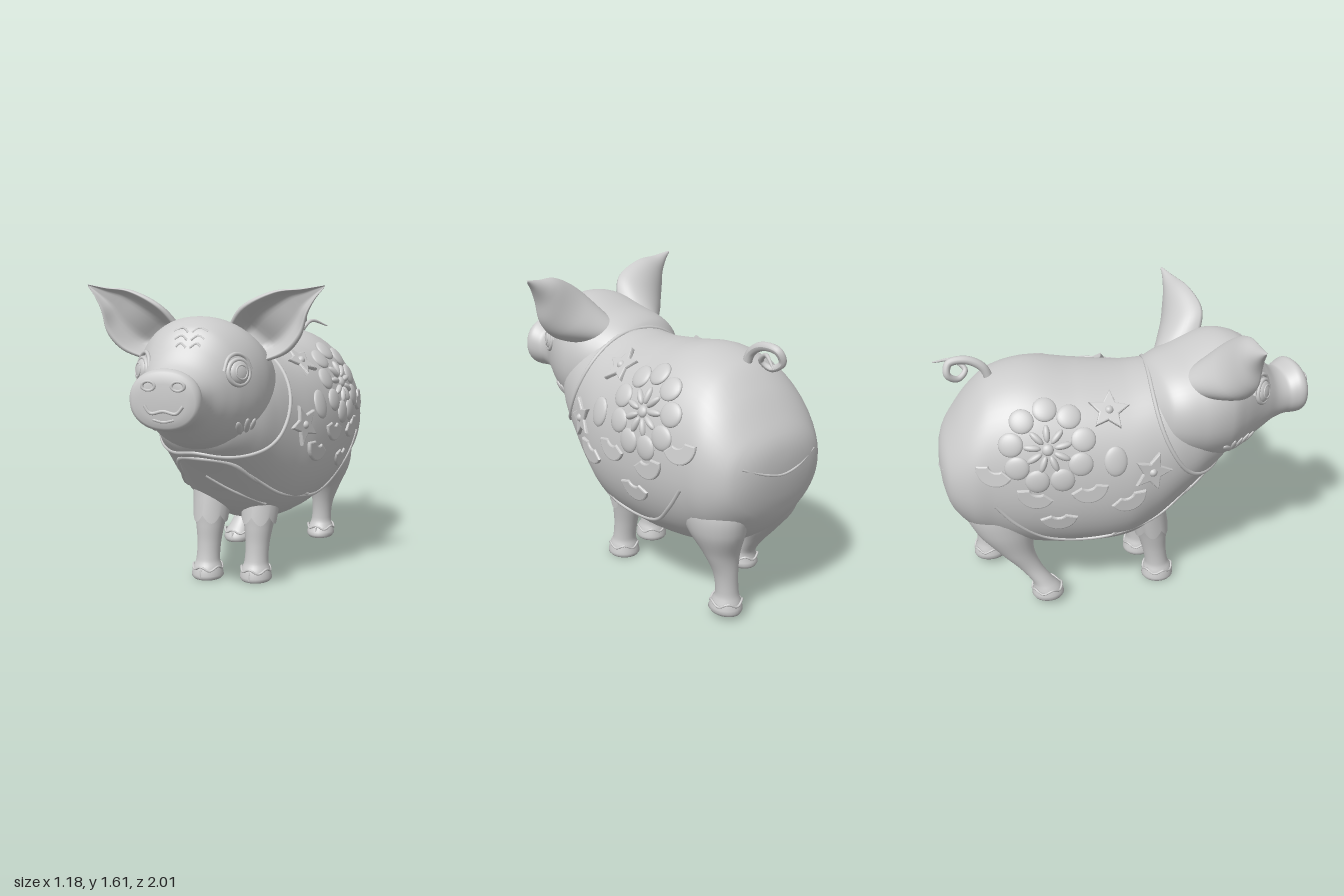
import * as THREE from 'three';

const V = (x, y, z) => new THREE.Vector3(x, y, z);
const mat = new THREE.MeshStandardMaterial({ color: 0xcccccc, roughness: 0.8 });
const matDouble = new THREE.MeshStandardMaterial({ color: 0xcccccc, roughness: 0.8, side: THREE.DoubleSide });
const SIDES = [1, -1];

// Cross-section tables: z, top y, bottom y, half width, centre x
const BODY = [
  [-0.985, 0.92, 0.77, 0.11, 0], [-0.97, 0.97, 0.68, 0.2, 0], [-0.93, 1.04, 0.56, 0.3, 0], [-0.82, 1.19, 0.43, 0.38, 0],
  [-0.7, 1.295, 0.36, 0.405, 0], [-0.5, 1.345, 0.31, 0.435, 0], [-0.25, 1.315, 0.29, 0.445, 0], [0, 1.29, 0.31, 0.43, 0],
  [0.15, 1.3, 0.39, 0.395, 0], [0.3, 1.3, 0.53, 0.355, 0], [0.42, 1.25, 0.65, 0.31, 0], [0.54, 1.12, 0.76, 0.22, 0], [0.6, 1.05, 0.83, 0.12, 0]];
const HEAD = [
  [-0.38, 1.24, 0.96, 0.18, 0], [-0.3, 1.33, 0.88, 0.29, 0], [-0.15, 1.39, 0.81, 0.345, 0], [0, 1.445, 0.775, 0.345, 0],
  [0.1, 1.45, 0.79, 0.31, 0], [0.2, 1.41, 0.83, 0.255, -0.01], [0.27, 1.32, 0.875, 0.21, -0.025], [0.34, 1.235, 0.92, 0.168, -0.04],
  [0.41, 1.2, 0.945, 0.152, -0.05], [0.45, 1.22, 0.945, 0.163, -0.05], [0.48, 1.235, 0.945, 0.171, -0.05],
  [0.505, 1.23, 0.95, 0.168, -0.05], [0.527, 1.205, 0.97, 0.145, -0.05], [0.533, 1.17, 1.0, 0.11, -0.05]];
const POW = 2.15;

// Smooth interpolation of a table by its first column
function sample(rows, t) {
  let i = 0;
  while (i < rows.length - 2 && t > rows[i + 1][0]) i++;
  const a = rows[i], b = rows[i + 1], p = rows[i - 1] || a, q = rows[i + 2] || b;
  const h = b[0] - a[0], u = Math.min(1, Math.max(0, (t - a[0]) / h)), u2 = u * u, u3 = u2 * u;
  return a.map((v, k) => {
    const m0 = (b[k] - p[k]) / (b[0] - p[0]) * h, m1 = (q[k] - v) / (q[0] - a[0]) * h;
    return v * (2 * u3 - 3 * u2 + 1) + m0 * (u3 - 2 * u2 + u) + b[k] * (3 * u2 - 2 * u3) + m1 * (u3 - u2);
  });
}

function add(parent, name, geo, material = mat) {
  const m = new THREE.Mesh(geo, material);
  m.name = name;
  parent.add(m);
  return m;
}

// Skin closed rings of points, with both ends capped
function loft(rings) {
  const n = rings[0].length, pos = [], idx = [];
  rings.forEach(r => r.forEach(p => pos.push(p.x, p.y, p.z)));
  for (let i = 0; i < rings.length - 1; i++) for (let j = 0; j < n; j++) {
    const a = i * n + j, b = i * n + (j + 1) % n;
    idx.push(a, b, a + n, b, b + n, a + n);
  }
  [0, rings.length - 1].forEach((e, k) => {
    const c = rings[e].reduce((s, p) => s.add(p), V(0, 0, 0)).divideScalar(n), ci = pos.length / 3;
    pos.push(c.x, c.y, c.z);
    for (let j = 0; j < n; j++) {
      const a = e * n + j, b = e * n + (j + 1) % n;
      k ? idx.push(ci, a, b) : idx.push(ci, b, a);
    }
  });
  const g = new THREE.BufferGeometry();
  g.setAttribute('position', new THREE.Float32BufferAttribute(pos, 3));
  g.setIndex(idx);
  g.computeVertexNormals();
  return g;
}

const ring = (n, f) => Array.from({ length: n }, (_, j) => f(j / n * Math.PI * 2));
const sup = v => Math.sign(v) * Math.abs(v) ** (2 / POW);
// Point on a trunk at depth z and angle a around it (a = 0 is +x)
function skin(rows, z, a) {
  const [, top, bot, rx, cx] = sample(rows, z);
  return V(cx + rx * sup(Math.cos(a)), (top + bot) / 2 + (top - bot) / 2 * sup(Math.sin(a)), z);
}
function trunk(rows, steps) {
  const z0 = rows[0][0], z1 = rows.at(-1)[0];
  return loft(Array.from({ length: steps + 1 }, (_, i) => {
    const z = z0 + (z1 - z0) * i / steps;
    return ring(56, a => skin(rows, z, a));
  }));
}
function inside(rows, x, y, z) {
  const [, top, bot, rx, cx] = sample(rows, z);
  return Math.abs((x - cx) / rx) ** POW + Math.abs((2 * y - top - bot) / (top - bot)) ** POW;
}
// Outermost point on the front (dir 1) or rear (dir -1) at x, y
function onEnd(rows, x, y, dir = 1) {
  let z = dir > 0 ? rows.at(-1)[0] : rows[0][0];
  for (let k = 0; k < 300 && inside(rows, x, y, z) > 1; k++) z -= dir * 0.004;
  return V(x, y, z);
}
function onSide(rows, z, y, s) {
  const [, top, bot, rx, cx] = sample(rows, z);
  const v = Math.min(1, Math.abs((2 * y - top - bot) / (top - bot)));
  return V(cx + s * rx * (1 - v ** POW) ** (1 / POW), y, z);
}

function line(parent, name, pts, r, closed = false) {
  return add(parent, name, new THREE.TubeGeometry(new THREE.CatmullRomCurve3(pts, closed), pts.length * 8, r, 8, closed));
}

// Lay a flat relief on the trunk's side, its own x axis pointing at angle a in the z-y plane
function relief(parent, name, geo, rows, z, y, s, a, scale = [1, 1, 1], sink = 0) {
  const p = onSide(rows, z, y, s), e = 0.01, f = (x, yy, zz) => inside(rows, x, yy, zz);
  const n = V(f(p.x + e, y, z) - f(p.x - e, y, z), f(p.x, y + e, z) - f(p.x, y - e, z), f(p.x, y, z + e) - f(p.x, y, z - e)).normalize();
  const dx = V(0, Math.sin(a), Math.cos(a));
  dx.addScaledVector(n, -n.dot(dx)).normalize();
  const m = add(parent, name, geo);
  m.quaternion.setFromRotationMatrix(new THREE.Matrix4().makeBasis(dx, n.clone().cross(dx), n));
  m.position.copy(p).addScaledVector(n, -sink);
  m.scale.set(...scale);
}

// Limb from rows of y, x, z, half width, half depth
function limb(parent, name, rows) {
  const y0 = rows[0][0], y1 = rows.at(-1)[0], N = 48;
  return add(parent, name, loft(Array.from({ length: N + 1 }, (_, i) => {
    const [y, x, z, rx, rz] = sample(rows, y0 + (y1 - y0) * i / N);
    return ring(28, a => V(x + rx * Math.sin(a), y, z + rz * Math.cos(a)));
  })));
}
function hoofLines(parent, x, y, z) {
  const pts = ring(30, a => V(x + 0.08 * Math.sin(a), y + 0.062 + 0.01 * Math.cos(a * 5), z + 0.082 * Math.cos(a)));
  line(parent, 'hoofRim', pts, 0.006, true);
  line(parent, 'toeSplit', [V(x, y + 0.012, z + 0.086), V(x, y + 0.035, z + 0.084), V(x, y + 0.06, z + 0.078)], 0.006);
}

function buildDecor(g) {
  const ball = new THREE.SphereGeometry(1, 20, 12);
  const bevel = { depth: 0.012, bevelEnabled: true, bevelSize: 0.008, bevelThickness: 0.008, bevelSegments: 2, curveSegments: 14 };
  const star = new THREE.Shape(Array.from({ length: 10 }, (_, i) => {
    const r = i % 2 ? 0.045 : 0.1, a = i * Math.PI / 5;
    return new THREE.Vector2(r * Math.cos(a), r * Math.sin(a));
  }));
  const slice = new THREE.Shape();
  slice.absarc(0, 0, 0.09, -1.35, 1.35);
  slice.absarc(-0.03, 0, 0.05, 0.9, -0.9, true);
  const starGeo = new THREE.ExtrudeGeometry(star, bevel), sliceGeo = new THREE.ExtrudeGeometry(slice, bevel);
  const slices = [[-0.02, 0.76, -1.2], [-0.38, 0.665, -1.5], [-0.49, 0.82, -1.9], [-0.69, 0.95, -1.9], [-0.22, 0.84, -1.4]];
  for (const s of SIDES) {
    // Big flower: outer petals, inner florets, heart
    for (let i = 0; i < 9; i++) {
      const a = i / 9 * Math.PI * 2 + 0.2, at = r => [BODY, -0.42 + r * Math.cos(a), 1.05 + r * 0.93 * Math.sin(a), s, a];
      relief(g, 'petal', ball, ...at(0.185), [0.064, 0.062, 0.02]);
      relief(g, 'floret', ball, ...at(0.08), [0.045, 0.018, 0.02]);
    }
    relief(g, 'flowerHeart', ball, BODY, -0.42, 1.05, s, 0, [0.03, 0.03, 0.02]);
    for (const [z, y, a] of [[-0.1, 1.19, 0.3], [0.11, 0.88, 1.2]]) {
      relief(g, 'starBlossom', starGeo, BODY, z, y, s, a, [1, 1, 1], 0.005);
      relief(g, 'blossomHeart', ball, BODY, z, y, s, 0, [0.025, 0.025, 0.03]);
    }
    relief(g, 'ovalLeaf', ball, BODY, -0.08, 0.965, s, 1.57, [0.08, 0.06, 0.02]);
    for (const [z, y, a] of slices) relief(g, 'fruitSlice', sliceGeo, BODY, z, y, s, a, [0.95, 1, 1], 0.009);
  }
}

function buildHead() {
  const g = new THREE.Group();
  g.name = 'head';
  add(g, 'skull', trunk(HEAD, 110));
  const ball = new THREE.SphereGeometry(1, 24, 16);
  for (const s of SIDES) {
    // Cupped ear between an upper and a lower edge
    const U = new THREE.CatmullRomCurve3([V(0.11, 1.37, -0.02), V(0.2, 1.5, 0.05), V(0.36, 1.578, 0.04), V(0.5, 1.59, 0.02), V(0.61, 1.605, 0)]);
    const L = new THREE.CatmullRomCurve3([V(0.27, 1.21, -0.04), V(0.43, 1.275, 0), V(0.5, 1.36, 0.02), V(0.53, 1.47, 0.02), V(0.565, 1.54, 0.01), V(0.605, 1.592, 0)]);
    const rings = Array.from({ length: 31 }, (_, i) => {
      const t = i / 30, u = U.getPoint(t), l = L.getPoint(t), mid = u.clone().add(l).multiplyScalar(0.5), half = u.sub(l).multiplyScalar(0.5);
      const back = 0.19 * (1 - t) ** 1.25 + 0.008, cup = back * 0.75 * Math.min(1, t * 5 + 0.3);
      const r = ring(48, a => {
        const c = Math.cos(a), sn = Math.sin(a);
        const rim = 0.022 * (1 - t) + 0.004;
        const dz = sn < 0 ? sn * back : rim * Math.min(1, sn * 2.5) - (cup + rim) * THREE.MathUtils.smoothstep(sn, 0.45, 0.95);
        const p = mid.clone().addScaledVector(half, c);
        return V(p.x * s, p.y, p.z + dz);
      });
      return s > 0 ? r : r.reverse();
    });
    add(g, 'ear', loft(rings));

    // Eye with iris, lids and fold above
    const eye = new THREE.Group();
    eye.name = 'eye';
    eye.position.copy(onSide(HEAD, 0.21, 1.195, s));
    eye.lookAt(eye.position.clone().add(V(0.8 * s, 0.15, 0.6)));
    g.add(eye);
    add(eye, 'eyeball', ball).scale.set(0.06, 0.058, 0.028);
    add(eye, 'iris', new THREE.TorusGeometry(0.034, 0.005, 8, 24)).position.z = 0.022;
    add(eye, 'eyelids', new THREE.TorusGeometry(0.066, 0.012, 10, 32)).scale.y = 0.92;
    line(eye, 'upperLid', [V(-0.085, 0.01, -0.008), V(-0.055, 0.068, -0.006), V(0, 0.09, -0.008), V(0.055, 0.068, -0.006), V(0.085, 0.01, -0.008)], 0.01);

    // Cheek tuft
    for (let i = 0; i < 5; i++)
      relief(g, 'cheekTuft', ball, HEAD, 0.0 + i * 0.038, 0.915 + 0.008 * (i % 2), s, 2.2 - i * 0.35, [0.048, 0.018, 0.012]);
    const nostril = add(g, 'nostril', new THREE.TorusGeometry(0.026, 0.008, 8, 24));
    nostril.position.set(-0.05 + 0.07 * s, 1.16, 0.531);
    nostril.scale.set(1.15, 0.8, 1);
    // Forehead wrinkles
    [1.395, 1.36, 1.325].forEach((y, i) => line(g, 'browWrinkle',
      [[0.008, -0.012], [0.04, 0.008], [0.085 - i * 0.012, -0.008]].map(([x, d]) => onEnd(HEAD, s * x - 0.005, y + d)), 0.006));
  }
  // Smile and snout crease
  line(g, 'mouth', [[-0.14, 1.07], [-0.11, 1.035], [-0.05, 1.045], [0.01, 1.035], [0.045, 1.07]].map(([x, y]) => onEnd(HEAD, x, y)), 0.008);
  line(g, 'lowerLip', [[-0.1, 1.005], [-0.05, 0.995], [0, 1.005]].map(([x, y]) => onEnd(HEAD, x, y)), 0.007);
  g.position.set(0, 0, 0.455);
  g.rotation.y = 0.25;
  return g;
}

export function createModel() {
  const g = new THREE.Group();
  g.name = 'pig';
  add(g, 'body', trunk(BODY, 110));
  g.add(buildHead());
  buildDecor(g);

  // Collar, sash and creases lying on the body
  line(g, 'collar', ring(32, a => skin(BODY, 0.13 + 0.42 * ((1 - Math.cos(a)) / 2) ** 1.7, a + Math.PI / 2)), 0.011, true);
  line(g, 'sash', [[-0.34, 0.46], [-0.22, 0.6], [-0.15, 0.71], [0, 0.735], [0.15, 0.71], [0.22, 0.6], [0.34, 0.46]].map(([x, y]) => onEnd(BODY, x, y)), 0.012);
  line(g, 'chestFold', [[-0.03, 0.62], [0.08, 0.53], [0.2, 0.44]].map(([x, y]) => onEnd(BODY, x, y)), 0.01);
  line(g, 'rumpCrease', [[-0.24, 0.87], [-0.1, 0.82], [0, 0.8], [0.1, 0.82], [0.24, 0.87]].map(([x, y]) => onEnd(BODY, x, y, -1)), 0.006);
  for (const s of SIDES) line(g, 'hem', [[0.35, 0.64], [0.15, 0.51], [-0.1, 0.45], [-0.3, 0.43], [-0.45, 0.47], [-0.6, 0.6], [-0.7, 0.73]]
    .map(([z, y]) => onSide(BODY, z, y, s)), 0.01);

  // Front legs with zigzag cuffs
  for (const s of SIDES) {
    const x = 0.13 * s, z = s > 0 ? 0.115 : 0.19;
    limb(g, 'frontLeg', [[0, x, z, 0.078, 0.082], [0.012, x, z, 0.088, 0.09], [0.06, x, z, 0.08, 0.081], [0.1, x, z - 0.005, 0.066, 0.066],
      [0.2, x, z - 0.02, 0.066, 0.068], [0.3, x, z - 0.035, 0.08, 0.083], [0.4, x, z - 0.055, 0.1, 0.1], [0.54, x * 0.95, z - 0.11, 0.11, 0.11]]);
    hoofLines(g, x, 0, z);
    const cuff = new THREE.CylinderGeometry(0.112, 0.097, 0.13, 48, 4, true), p = cuff.attributes.position;
    for (let i = 0; i < p.count; i++) {
      const a = Math.atan2(p.getZ(i), p.getX(i)), down = (0.065 - p.getY(i)) / 0.13;
      p.setXYZ(i, p.getX(i), p.getY(i) - down * 0.045 * Math.abs(Math.cos(a * 3)), p.getZ(i) + down * 0.035);
    }
    cuff.computeVertexNormals();
    add(g, 'legCuff', cuff, matDouble).position.set(x, 0.425, z - 0.075);
  }

  // Hind legs, one standing back and one stepping forward
  limb(g, 'hindLegLeft', [[0.03, 0.15, -0.77, 0.07, 0.085], [0.042, 0.15, -0.77, 0.083, 0.093], [0.09, 0.15, -0.775, 0.075, 0.078], [0.13, 0.15, -0.78, 0.06, 0.06],
    [0.25, 0.16, -0.775, 0.064, 0.064], [0.36, 0.175, -0.76, 0.095, 0.09], [0.5, 0.195, -0.735, 0.14, 0.165], [0.63, 0.195, -0.715, 0.15, 0.185], [0.85, 0.18, -0.66, 0.1, 0.12]]);
  hoofLines(g, 0.15, 0.03, -0.775);
  limb(g, 'hindLegRight', [[0.03, -0.27, -0.45, 0.07, 0.08], [0.042, -0.27, -0.45, 0.083, 0.09], [0.09, -0.27, -0.455, 0.074, 0.075], [0.13, -0.265, -0.475, 0.06, 0.058],
    [0.22, -0.25, -0.54, 0.06, 0.062], [0.33, -0.235, -0.61, 0.09, 0.095], [0.48, -0.215, -0.67, 0.135, 0.16], [0.63, -0.2, -0.69, 0.145, 0.185], [0.85, -0.18, -0.66, 0.1, 0.12]]);
  hoofLines(g, -0.27, 0.03, -0.455);

  // Curly tail, tapering to its tip
  const path = new THREE.CatmullRomCurve3([V(-0.02, 1.24, -0.68), V(-0.02, 1.34, -0.72), V(-0.02, 1.385, -0.8), V(-0.03, 1.375, -0.89), V(-0.05, 1.32, -0.9),
    V(-0.03, 1.285, -0.85), V(0.0, 1.32, -0.81), V(0.03, 1.365, -0.87), V(0.09, 1.33, -0.98)]);
  const tail = new THREE.TubeGeometry(path, 90, 0.024, 12), tp = tail.attributes.position;
  for (let i = 0; i < tp.count; i++) {
    const t = Math.floor(i / 13) / 90, c = path.getPointAt(t), v = V(0, 0, 0).fromBufferAttribute(tp, i);
    v.lerpVectors(c, v, 1 - 0.85 * t ** 2);
    tp.setXYZ(i, v.x, v.y, v.z);
  }
  tail.computeVertexNormals();
  add(g, 'tail', tail);
  return g;
}
